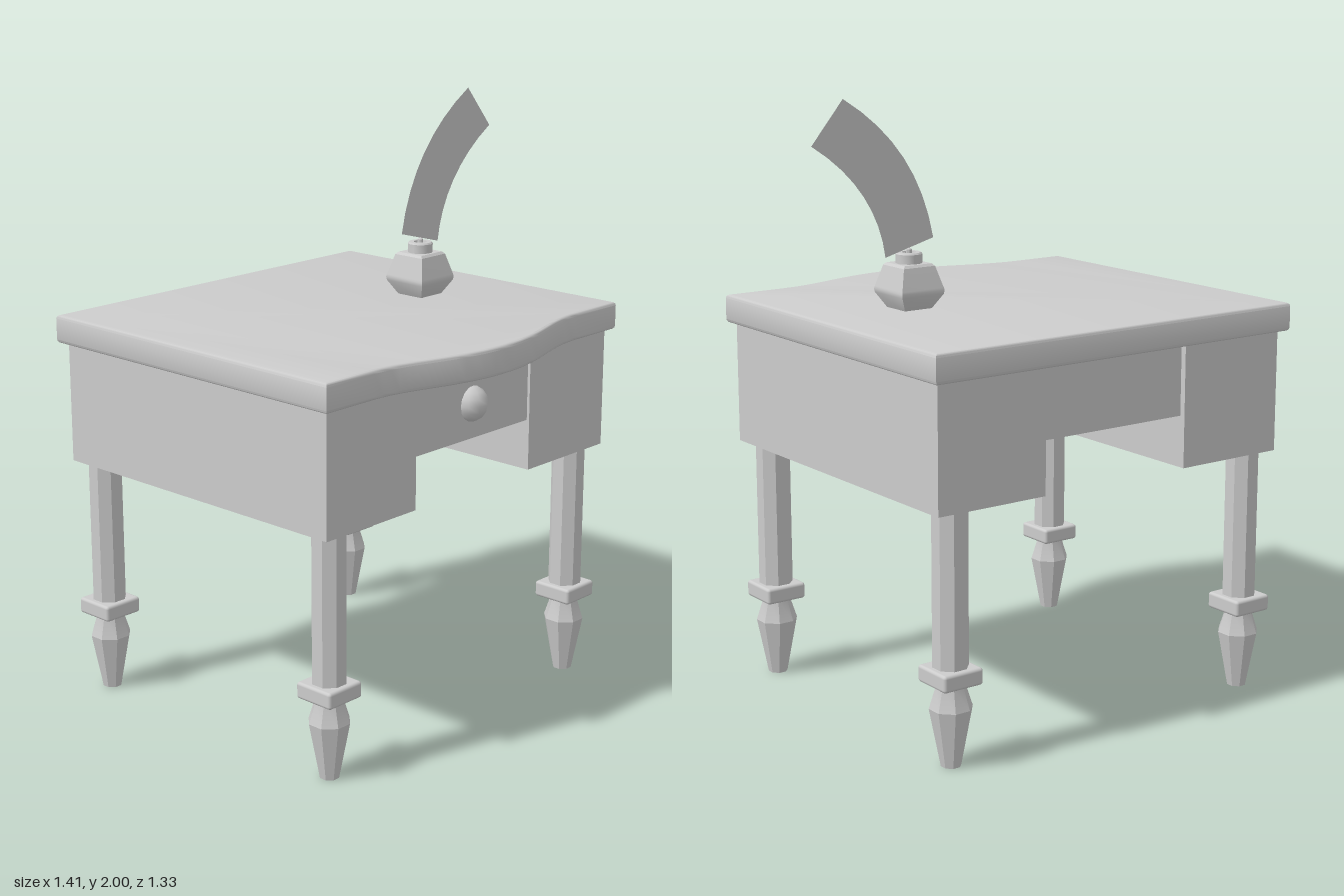
import * as THREE from 'three';
import { toCreasedNormals } from 'three/addons/utils/BufferGeometryUtils.js';
import { RoundedBoxGeometry } from 'three/addons/geometries/RoundedBoxGeometry.js';

export function createModel() {
  const desk = new THREE.Group();
  desk.name = 'writingDesk';
  const grey = new THREE.MeshStandardMaterial({ color: 0xcccccc, side: THREE.DoubleSide });
  grey.name = 'plain grey';

  const add = (parent, name, geometry, x = 0, y = 0, z = 0) => {
    const mesh = new THREE.Mesh(geometry, grey);
    mesh.name = name;
    mesh.position.set(x, y, z);
    parent.add(mesh);
    return mesh;
  };

  // Turned profile; a flat face of the prism points to the front.
  // Points are [half width across flats, height].
  const turned = (points, sides, crease = 0.4) => {
    const k = 1 / Math.cos(Math.PI / sides);
    const g = new THREE.LatheGeometry(points.map(([r, y]) => new THREE.Vector2(r * k, y)), sides);
    return toCreasedNormals(g.rotateY(Math.PI / sides), crease);
  };

  // Desk top with a bowed front edge
  const b = 0.012;
  const outline = new THREE.Shape();
  outline.moveTo(-0.705, -0.665);
  outline.lineTo(0.705, -0.665);
  outline.lineTo(0.705, 0.565);
  outline.lineTo(0.5, 0.565);
  outline.bezierCurveTo(0.33, 0.565, 0.22, 0.66, 0, 0.66);
  outline.bezierCurveTo(-0.22, 0.66, -0.33, 0.565, -0.5, 0.565);
  outline.lineTo(-0.705, 0.565);
  outline.closePath();
  const slab = new THREE.ExtrudeGeometry(outline, {
    depth: 0.095 - 2 * b, bevelThickness: b, bevelSize: b, bevelOffset: -b,
    bevelSegments: 3, curveSegments: 14,
  }).rotateX(Math.PI / 2);
  add(desk, 'deskTop', toCreasedNormals(slab, 0.7), 0, 1.32 - b, 0);

  // Hollow side cabinets, open below, and the legs standing inside them
  const half = Math.SQRT1_2;
  const walls = toCreasedNormals(
    new THREE.CylinderGeometry(half, half, 1, 4, 1, true).rotateY(Math.PI / 4).scale(0.4, 0.405, 1.175), 0.4);
  const shaft = turned([[0, 0.3], [0.053, 0.3], [0.053, 1.01], [0, 1.01]], 8);
  const foot = turned([[0, 0], [0.03, 0], [0.064, 0.19], [0.042, 0.265], [0.042, 0.28], [0, 0.28]], 8);
  const collar = new RoundedBoxGeometry(0.146, 0.055, 0.146, 2, 0.01);

  for (const side of [-1, 1]) {
    const hand = side > 0 ? 'left' : 'right';
    add(desk, hand + 'Cabinet', walls, side * 0.48, 1.0225, -0.0475);
    for (const [end, z] of [['Front', 0.467], ['Back', -0.573]]) {
      const leg = new THREE.Group();
      leg.name = hand + end + 'Leg';
      leg.position.set(side * 0.595, 0, z);
      add(leg, 'legShaft', shaft);
      add(leg, 'legCollar', collar, 0, 0.295, 0);
      add(leg, 'legFoot', foot);
      desk.add(leg);
    }
  }

  // Drawer front, knob and back panel
  const panel = new THREE.BoxGeometry(0.568, 0.235, 0.03);
  add(desk, 'drawerFront', panel, 0, 1.1075, 0.515);
  add(desk, 'backPanel', panel, 0, 1.1075, -0.6);
  add(desk, 'drawerKnob', new THREE.SphereGeometry(0.06, 10, 8), 0, 1.105, 0.52);

  // Inkwell: square bottle with a round open neck
  const inkwell = new THREE.Group();
  inkwell.name = 'inkwell';
  inkwell.position.set(0.347, 1.32, 0);
  add(inkwell, 'inkBottle', turned([
    [0, 0], [0.052, 0], [0.08, 0.048], [0.082, 0.06], [0.08, 0.068],
    [0.06, 0.138], [0.052, 0.146], [0, 0.146],
  ], 4, 0.5));
  add(inkwell, 'inkNeck', turned([
    [0.042, 0.14], [0.042, 0.176], [0.038, 0.181], [0.022, 0.181], [0.018, 0.16], [0, 0.16],
  ], 16, 0.6));
  add(inkwell, 'quillNib', turned([[0.009, 0.15], [0.009, 0.19], [0, 0.196]], 8));
  desk.add(inkwell);

  // Quill: a flat curved feather
  const feather = new THREE.Shape();
  feather.moveTo(0.252, 1.54);
  feather.lineTo(0.437, 1.49);
  feather.bezierCurveTo(0.455, 1.63, 0.54, 1.76, 0.705, 1.86);
  feather.lineTo(0.588, 2.0);
  feather.bezierCurveTo(0.4, 1.89, 0.29, 1.74, 0.252, 1.54);
  add(desk, 'quillFeather', new THREE.ShapeGeometry(feather, 8));

  return desk;
}
